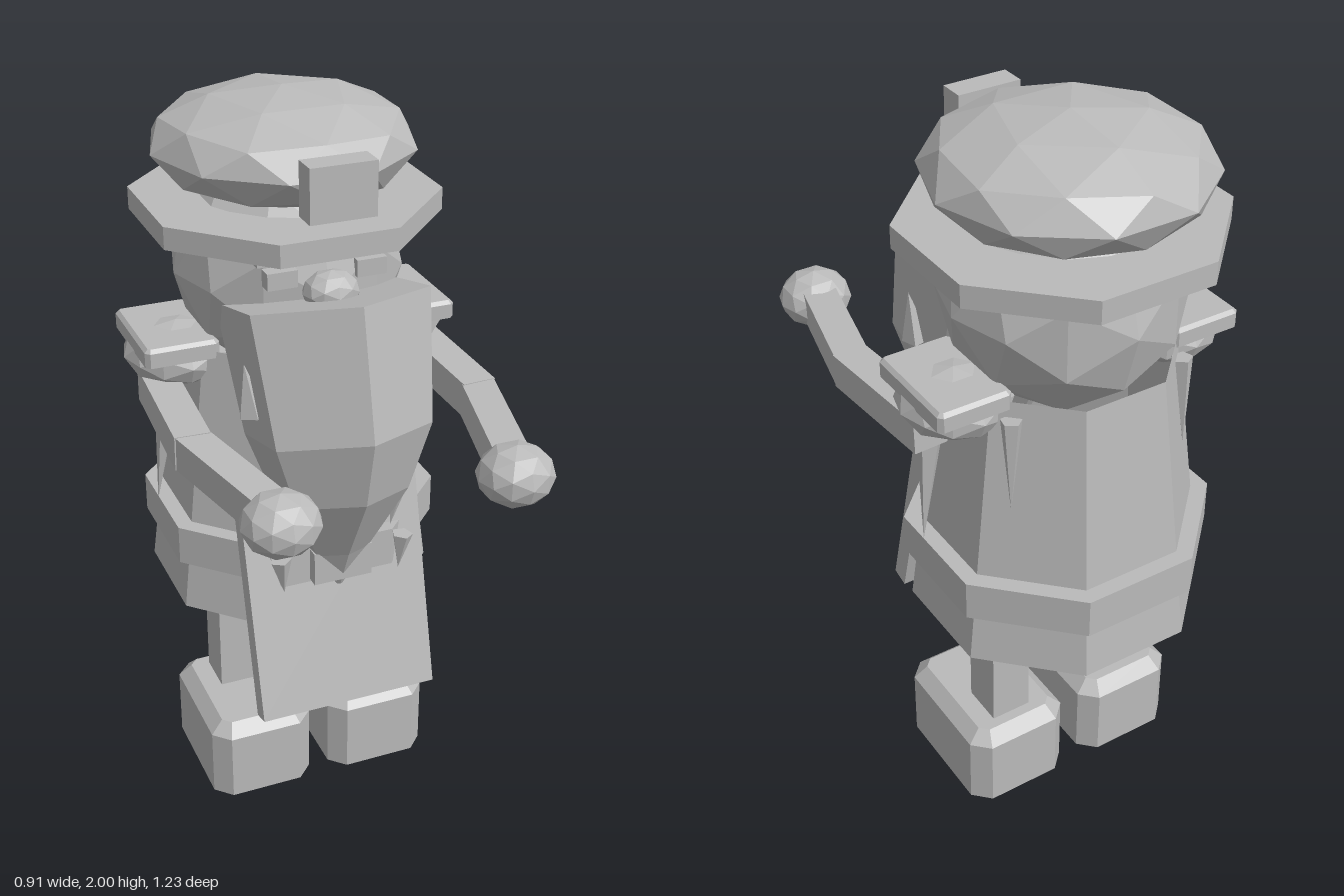
import * as THREE from 'three';

// Double sided because the robe and boots are open underneath
const grey = new THREE.MeshStandardMaterial({ color: 0xbababa, flatShading: true, side: THREE.DoubleSide });
grey.name = 'plain grey';

const V = (x, y, z) => new THREE.Vector3(x, y, z);

// Skin a stack of equal rings (bottom to top, counterclockwise from above); the bottom stays open
function loft(rings) {
  const pos = [];
  const tri = (a, b, c) => pos.push(...a.toArray(), ...b.toArray(), ...c.toArray());
  const n = rings[0].length;
  for (let r = 0; r < rings.length - 1; r++) {
    for (let i = 0; i < n; i++) {
      const j = (i + 1) % n, lo = rings[r], hi = rings[r + 1];
      tri(lo[i], lo[j], hi[j]);
      tri(lo[i], hi[j], hi[i]);
    }
  }
  const top = rings[rings.length - 1];
  for (let i = 1; i < n - 1; i++) tri(top[0], top[i], top[i + 1]);
  const g = new THREE.BufferGeometry();
  g.setAttribute('position', new THREE.Float32BufferAttribute(pos, 3));
  g.computeVertexNormals();
  return g;
}

// Rectangle ring with cut corners
function cutRect(w, d, c, y) {
  const x = w / 2, z = d / 2;
  return [[-x + c, z], [x - c, z], [x, z - c], [x, -z + c],
    [x - c, -z], [-x + c, -z], [-x, -z + c], [-x, z - c]].map(([a, b]) => V(a, y, b));
}

// Block with cut corners and a sloped top edge
function cutBlock(w, h, d, c) {
  return loft([cutRect(w, d, c, 0), cutRect(w, d, c, h - c * 0.8), cutRect(w - 1.6 * c, d - 1.6 * c, c * 0.5, h)]);
}

export function createModel() {
  const model = new THREE.Group();
  model.name = 'figure';

  const add = (name, geometry, x = 0, y = 0, z = 0) => {
    const m = new THREE.Mesh(geometry, grey);
    m.name = name;
    m.position.set(x, y, z);
    model.add(m);
    return m;
  };
  const box = (name, w, h, d, x, y, z) => add(name, new THREE.BoxGeometry(w, h, d), x, y, z);
  const ball = (name, rx, ry, rz, x, y, z) => {
    const m = add(name, new THREE.IcosahedronGeometry(1, 1), x, y, z);
    m.scale.set(rx, ry, rz);
    return m;
  };
  // Eight-sided drum with flat sides facing the axes; sizes are to the flats
  const drum = (name, top, bottom, y0, y1, open = false) => {
    const k = 1 / Math.cos(Math.PI / 8);
    const g = new THREE.CylinderGeometry(top * k, bottom * k, y1 - y0, 8, 1, open).rotateY(Math.PI / 8);
    return add(name, g, 0, (y0 + y1) / 2, -0.235);
  };
  // Square bar from a to b
  const beam = (name, a, b, t) => {
    const m = add(name, new THREE.BoxGeometry(t, t, a.distanceTo(b)));
    m.position.copy(a).add(b).multiplyScalar(0.5);
    m.lookAt(b);
    return m;
  };
  // Pointed lock from a wide base to a tip
  const spike = (name, base, tip, r) => {
    const m = add(name, new THREE.ConeGeometry(r, base.distanceTo(tip), 5));
    m.position.copy(base).add(tip).multiplyScalar(0.5);
    m.quaternion.setFromUnitVectors(V(0, 1, 0), tip.clone().sub(base).normalize());
    return m;
  };

  // Open robe, belt and tilted apron
  drum('robe', 0.275, 0.365, 0.615, 1.37, true);
  drum('belt', 0.377, 0.377, 0.765, 0.875);
  box('apron', 0.505, 0.655, 0.055, 0, 0.713, 0.12).rotation.x = -0.26;
  box('buckle', 0.165, 0.095, 0.06, 0, 0.82, 0.145);

  // Head and cap; the crown is turned so a corner points straight up
  ball('head', 0.31, 0.31, 0.31, 0, 1.545, -0.235);
  drum('capBrim', 0.377, 0.377, 1.675, 1.735);
  const crown = new THREE.IcosahedronGeometry(1, 1).rotateZ(-Math.atan(2 / (1 + Math.sqrt(5)))).rotateY(Math.PI / 2);
  add('capCrown', crown.scale(0.352, 0.142, 0.355), 0, 1.858, -0.25);
  box('capBadge', 0.175, 0.14, 0.07, 0, 1.85, 0.125);
  ball('nose', 0.075, 0.055, 0.062, 0, 1.57, 0.08);

  // Six-sided beard, leaning forward: front ridge z, front ridge y, radius
  const lean = 0.27;
  const beardRing = ([z, y, r]) => Array.from({ length: 6 }, (_, i) => {
    const a = i * Math.PI / 3, back = r * (1 - Math.cos(a));
    return V(r * Math.sin(a), y - back * Math.sin(lean), z - back * Math.cos(lean));
  });
  add('beard', loft([[0.155, 0.745, 0.008], [0.21, 0.87, 0.085], [0.322, 1.08, 0.18],
    [0.365, 1.275, 0.245], [0.285, 1.61, 0.277]].map(beardRing)));

  // Everything that comes in pairs
  for (const s of [1, -1]) {
    const side = s > 0 ? 'left' : 'right';
    add(side + 'Boot', cutBlock(0.3, 0.24, 0.4, 0.045), s * 0.18, 0, -0.16);
    box(side + 'Leg', 0.115, 0.57, 0.12, s * 0.183, 0.485, -0.235);

    beam(side + 'UpperArm', V(s * 0.375, 1.245, -0.235), V(s * 0.394, 1.23, 0.145), 0.093);
    beam(side + 'Forearm', V(s * 0.394, 1.23, 0.135), V(s * 0.31, 1.217, 0.49), 0.09);
    ball(side + 'Hand', 0.1, 0.08, 0.096, s * 0.305, 1.215, 0.52);

    ball(side + 'Shoulder', 0.145, 0.085, 0.145, s * 0.31, 1.328, -0.238);
    add(side + 'ShoulderPad', cutBlock(0.2, 0.05, 0.295, 0.012), s * 0.335, 1.353, -0.24);

    box(side + 'Eye', 0.08, 0.045, 0.04, s * 0.12, 1.607, 0.04);
    box(side + 'Brow', 0.14, 0.022, 0.05, s * 0.12, 1.665, 0.045);

    spike(side + 'ShoulderTassel', V(s * 0.345, 1.3, -0.19), V(s * 0.392, 0.9, -0.21), 0.045);
    spike(side + 'BackTassel', V(s * 0.25, 1.33, -0.4), V(s * 0.26, 1.075, -0.415), 0.028);
    spike(side + 'BeardTuft', V(s * 0.22, 1.28, 0.1), V(s * 0.24, 1.42, 0.1), 0.04);
    spike(side + 'BeardLock', V(s * 0.175, 1.04, 0.14), V(s * 0.15, 0.89, 0.14), 0.033);
    spike(side + 'BuckleTassel', V(s * 0.175, 0.87, 0.165), V(s * 0.165, 0.765, 0.165), 0.03);
  }
  return model;
}
